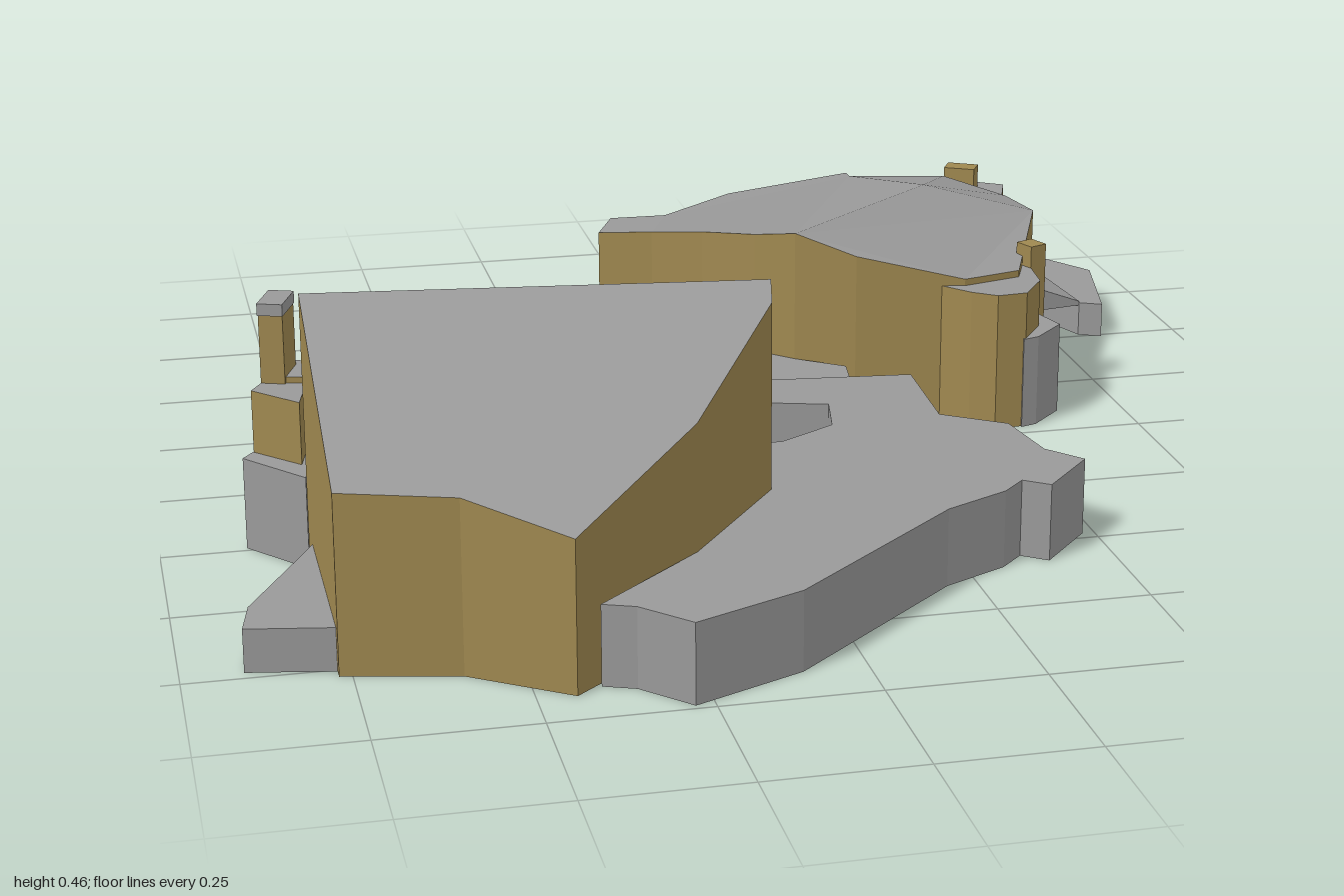
import * as THREE from 'three';

const grey = new THREE.MeshStandardMaterial({ color: 0x999999, side: THREE.DoubleSide });
grey.name = 'grey slate';
const tan = new THREE.MeshStandardMaterial({ color: 0x9f8850, side: THREE.DoubleSide });
tan.name = 'tan plaster';

function meshFrom(name, positions, material) {
  const g = new THREE.BufferGeometry();
  g.setAttribute('position', new THREE.Float32BufferAttribute(positions, 3));
  g.computeVertexNormals();
  const m = new THREE.Mesh(g, material);
  m.name = name;
  return m;
}

// Surface over a plan outline; every corner is [x, z, top, base]
function cap(name, pts, material, level = 2) {
  const contour = pts.map(p => new THREE.Vector2(p[0], -p[1]));
  const out = [];
  for (const tri of THREE.ShapeUtils.triangulateShape(contour, [])) {
    const [a, b, c] = tri.map(i => contour[i]);
    const ccw = (b.x - a.x) * (c.y - a.y) - (b.y - a.y) * (c.x - a.x) > 0;
    for (const i of ccw ? tri : [tri[0], tri[2], tri[1]]) out.push(pts[i][0], pts[i][level] ?? 0, pts[i][1]);
  }
  return meshFrom(name, out, material);
}

// Upright walls along the outline; edges listed in skip stay open
function walls(name, pts, material, skip = []) {
  const out = [];
  const sign = THREE.ShapeUtils.area(pts.map(p => new THREE.Vector2(p[0], -p[1]))) > 0;
  pts.forEach((p, i) => {
    if (skip.includes(i)) return;
    const q = pts[(i + 1) % pts.length];
    const [a, b] = sign ? [p, q] : [q, p];
    const base = p[3] ?? 0; // base belongs to the edge starting at p
    const A = [a[0], base, a[1]], B = [b[0], base, b[1]];
    const C = [b[0], b[2], b[1]], D = [a[0], a[2], a[1]];
    out.push(...A, ...B, ...C, ...A, ...C, ...D);
  });
  return meshFrom(name, out, material);
}

// Open-bottomed block with a flat or sloping top
function block(name, pts, top, wallMat = grey, skip = [], base = 0) {
  const group = new THREE.Group();
  group.name = name;
  const full = pts.map(([x, z, h]) => [x, z, h ?? top, base]);
  group.add(walls(name + 'Walls', full, wallMat, skip), cap(name + 'Top', full, grey));
  return group;
}

function post(name, x, z, w, d, y0, y1, material, turn = 0) {
  const m = new THREE.Mesh(new THREE.BoxGeometry(w, y1 - y0, d), material);
  m.position.set(x, (y0 + y1) / 2, z);
  m.rotation.y = turn;
  m.name = name;
  return m;
}

function largeHouse() {
  const house = new THREE.Group();
  house.name = 'largeHouse';
  // Two roof planes fall away from the ridge
  const withHeight = ([x, z]) => {
    const d = z - (0.36 + 0.123 * (x + 0.77));
    return [x, z, 0.463 - (d > 0 ? 0.42 * d : -0.56 * d)];
  };
  const ridge = [[-0.77, 0.36], [-0.04, 0.45]];
  const front = [[-0.05, 0.5], [-0.22, 0.73], [-0.44, 0.92], [-0.59, 0.815], [-0.77, 0.775]];
  const back = [[-0.02, 0.25], [0.015, 0.15], [-0.06, 0.065], [-0.14, 0.13], [-0.47, 0.02], [-0.75, 0.19]];
  house.add(cap('frontRoof', [...ridge, ...front].map(withHeight), grey));
  house.add(cap('backRoof', [ridge[1], ...back, ridge[0]].map(withHeight), grey));
  const outline = [ridge[0], ...[...front].reverse(), ridge[1], ...back].map(withHeight);
  house.add(walls('houseWalls', outline, tan, [outline.length - 1]));

  // Terrace wraps round the house and leaves a courtyard opening
  const terrace = [
    [-0.69, -0.21], [-0.1, -0.035], [0.32, 0.01], [0.31, 0.22], [0.41, 0.29], [0.43, 0.42], [0.48, 0.48],
    [0.39, 0.58], [0.35, 0.55], [0.31, 0.59], [0.2, 0.645], [-0.1, 0.91], [-0.28, 0.99], [-0.35, 0.915],
    [-0.4, 0.895], [-0.22, 0.73], [-0.05, 0.5], [-0.04, 0.45], [-0.02, 0.29], [0.02, 0.29], [0.12, 0.23],
    [0.14, 0.13], [0.04, 0.1], [0.015, 0.15], [-0.06, 0.065], [-0.14, 0.13], [-0.47, 0.02], [-0.75, 0.19],
    [-0.78, 0.1], [-0.75, 0], [-0.74, -0.11]];
  house.add(block('terrace', terrace, 0.13, grey, [14, 15, 16, 17, 23, 24, 25, 26]));
  house.add(block('sideStep', [[-0.72, -0.15], [-0.8, -0.075], [-0.75, 0]], 0.06));
  house.add(block('lowTerrace', [[-0.77, 0.42], [-0.79, 0.46], [-0.89, 0.65], [-0.905, 0.73], [-0.77, 0.755]], 0.07));

  // Stepped chimney on the side wall
  house.add(block('chimneyFoot', [[-0.81, 0.17], [-0.86, 0.24], [-0.77, 0.35], [-0.75, 0.2]], 0.155));
  house.add(block('chimneyShoulder', [[-0.82, 0.18], [-0.84, 0.215], [-0.77, 0.29], [-0.75, 0.2], [-0.74, 0.19]], 0.26, tan));
  house.add(block('chimneyBase', [[-0.79, 0.09], [-0.82, 0.18], [-0.74, 0.2], [-0.69, 0.14]], 0.27, tan));
  house.add(post('chimneyStack', -0.79, 0.155, 0.04, 0.07, 0.2, 0.375, tan, -0.35));
  house.add(post('chimneyCap', -0.79, 0.155, 0.042, 0.075, 0.375, 0.395, grey, -0.35));
  return house;
}

function smallHouse() {
  const house = new THREE.Group();
  house.name = 'smallHouse';
  // Ridge ends, then eaves round the front and back
  const r0 = [0.16, -0.19, 0.34], r1 = [0.47, -0.44, 0.343];
  const front = [[0.26, -0.14, 0.305], [0.45, -0.1, 0.262], [0.56, -0.13, 0.262], [0.68, -0.42, 0.285]];
  const back = [[0.66, -0.53, 0.285, 0.12], [0.59, -0.71, 0.28, 0.12], [0.41, -0.75, 0.28, 0.12],
    [0.41, -0.775, 0.28, 0.12], [0.15, -0.68, 0.28, 0.12], [0, -0.56, 0.28], [-0.1, -0.58, 0.275],
    [-0.14, -0.49, 0.275], [-0.05, -0.44, 0.285], [0.03, -0.37, 0.3], [0.1, -0.25, 0.325]];
  house.add(cap('frontRoof', [r0, ...front, r1], grey));
  house.add(cap('backRoofEast', [r1, front[3], ...back.slice(0, 3)], grey));
  house.add(cap('backRoofWest', [r0, r1, ...back.slice(2)], grey));
  house.add(walls('houseWalls', [r0, ...front, ...back], tan));

  // Front bay with a grey plinth and a post
  house.add(block('frontBay', [[0.4, -0.12], [0.45, -0.06], [0.49, -0.03], [0.545, -0.035], [0.59, -0.1], [0.6, -0.2], [0.55, -0.2]], 0.25, tan));
  house.add(block('plinth', [[0.54, -0.03], [0.57, -0.04], [0.63, -0.1], [0.61, -0.17], [0.55, -0.13]], 0.165));
  house.add(post('bayPost', 0.605, -0.2, 0.035, 0.04, 0, 0.29, tan, 0.4));

  // Raised wing at the rear corner
  house.add(block('rearWing', [[0.61, -0.84], [0.73, -0.76], [0.66, -0.56], [0.6, -0.6], [0.55, -0.73]], 0.24, tan, [], 0.1));
  house.add(post('wingPost', 0.64, -0.755, 0.06, 0.04, 0.2, 0.285, tan, -0.5));

  // Stepped rear terraces
  house.add(block('rearParapet', [[-0.02, -0.89], [0.33, -0.94], [0.29, -0.87], [-0.035, -0.835]], 0.115));
  house.add(block('rearTerrace', [[-0.035, -0.835], [0.29, -0.87], [0.33, -0.94], [0.55, -0.835], [0.66, -0.78],
    [0.58, -0.72], [0.41, -0.79], [0.15, -0.7], [0, -0.6], [-0.11, -0.58], [-0.06, -0.73]], 0.09));
  house.add(block('outerTerrace', [[0.33, -0.94], [0.36, -1], [0.55, -0.91], [0.8, -0.815], [0.825, -0.825], [0.9, -0.71],
    [0.85, -0.49], [0.81, -0.51], [0.72, -0.74], [0.66, -0.78], [0.55, -0.835]], 0.065));
  house.add(block('sideRamp', [[0.64, -0.74, 0.12], [0.72, -0.76, 0.12], [0.81, -0.51, 0.068], [0.67, -0.485, 0.125]], 0.12, grey, [], 0.06));
  house.add(post('terracePost', 0.63, -0.825, 0.04, 0.04, 0, 0.15, grey, 0.5));
  return house;
}

export function createModel() {
  const model = new THREE.Group();
  model.name = 'twoHouses';
  model.add(largeHouse(), smallHouse());
  // Curved landing joining the two houses
  model.add(block('landing', [[0.02, -0.245], [0.1, -0.25], [0.16, -0.19], [0.24, -0.13], [0.22, 0], [0.01, -0.02], [-0.015, -0.08], [-0.015, -0.16]], 0.105));
  return model;
}
